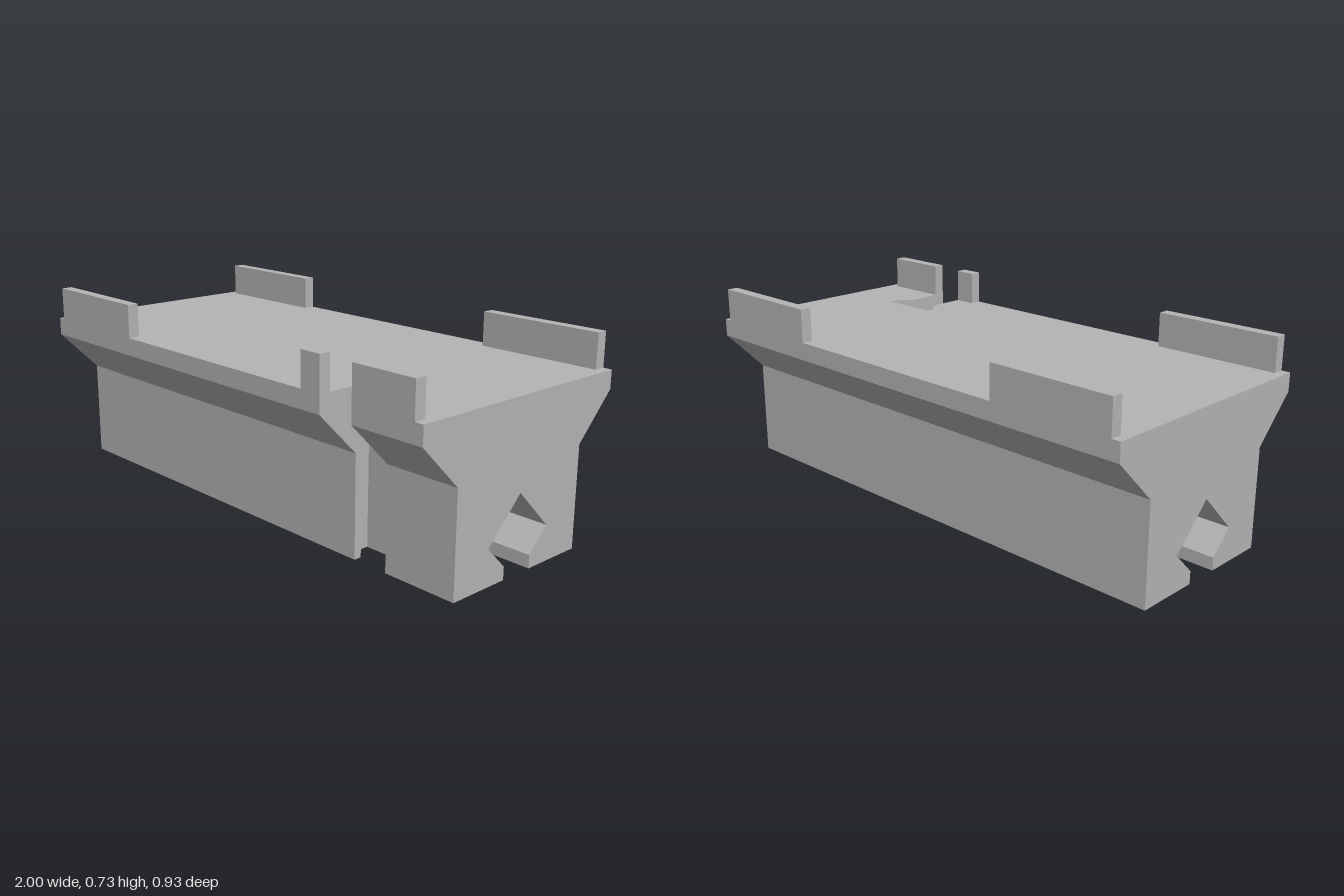
import * as THREE from 'three';

const grey = new THREE.MeshStandardMaterial({ color: 0xb4b4b4 });
grey.name = 'plain grey';

const TOP = 0.6, WING = 0.467, WALL = 0.307;
const NECK = [0.572, 0.713], HEAD = [0.525, 0.76];   // x limits of the front slot
const HEAD_Z = 0.2, CHAMFER_Z = 0.235, NECK_Z = 0.278; // depth steps of the front slot
const POCKET = 0.45;

// Shared half outline of the outside, as [z, y] from bottom to top
const outside = [[WALL, 0], [WALL, 0.372], [WING, 0.532], [WING, TOP]];
// Half outlines of the underside channel, from opening to apex
const channel = [[0.066, 0], [0.066, 0.047], [0.149, 0.13], [0, 0.279]];
const pocket = [[0.245, 0], [0.245, 0.07], [0, 0.315]];
const mirror = pts => pts.map(([z, y]) => [-z, y]);

function toShape(points) {
  return new THREE.Shape(points.map(([a, b]) => new THREE.Vector2(a, b)));
}

export function createModel() {
  const group = new THREE.Group();
  const add = (name, geometry) => {
    const mesh = new THREE.Mesh(geometry, grey);
    mesh.name = name;
    group.add(mesh);
  };

  // Extrude a [z, y] section from x0 to x1
  const alongX = (name, points, x0, x1) => {
    const g = new THREE.ExtrudeGeometry(toShape(mirror(points)), { depth: x1 - x0, bevelEnabled: false });
    add(name, g.rotateY(Math.PI / 2).translate(x0, 0, 0));
  };
  // Extrude an [x, z] plan from the ground to the deck
  const upward = (name, points) => {
    const g = new THREE.ExtrudeGeometry(toShape(points.map(([x, z]) => [x, -z])), { depth: TOP, bevelEnabled: false });
    add(name, g.rotateX(-Math.PI / 2));
  };
  // Whole cross-section around a given channel
  const section = hollow => [
    ...outside, ...mirror(outside).reverse(),
    ...mirror(hollow), ...hollow.slice(0, -1).reverse(),
  ];

  // Main beam: narrow channel at the end, wider pocket in the middle
  alongX('endBody', section(channel), -1, -POCKET);
  alongX('middleBody', section(pocket), -POCKET, POCKET);

  // Slotted end: solid part behind the slot
  alongX('slottedBody', [
    [HEAD_Z, 0], [HEAD_Z, TOP], ...mirror(outside).reverse(),
    ...mirror(channel), ...channel.slice(0, -1).reverse(),
  ], POCKET, 1);

  // Slot sides: undercut shoulders, then the winged front beside the neck
  const front = [[NECK_Z, 0], ...outside, [NECK_Z, TOP]];
  [[POCKET, 0], [1, 1]].forEach(([edge, i]) => {
    upward('slotShoulder', [
      [edge, HEAD_Z], [HEAD[i], HEAD_Z], [HEAD[i], CHAMFER_Z], [NECK[i], NECK_Z], [edge, NECK_Z],
    ]);
    alongX('slotFront', front, Math.min(edge, NECK[i]), Math.max(edge, NECK[i]));
  });

  // Upright tabs on the deck; the one over the slot is cut in two
  const tab = (x0, x1, side) => {
    const g = new THREE.BoxGeometry(x1 - x0, 0.127, 0.043);
    add('deckTab', g.translate((x0 + x1) / 2, TOP + 0.0635, side * (WING - 0.0215)));
  };
  tab(-0.967, -0.485, 1);
  tab(-0.967, -0.485, -1);
  tab(0.485, 0.967, -1);
  tab(0.485, NECK[0], 1);
  tab(NECK[1], 0.967, 1);

  return group;
}
